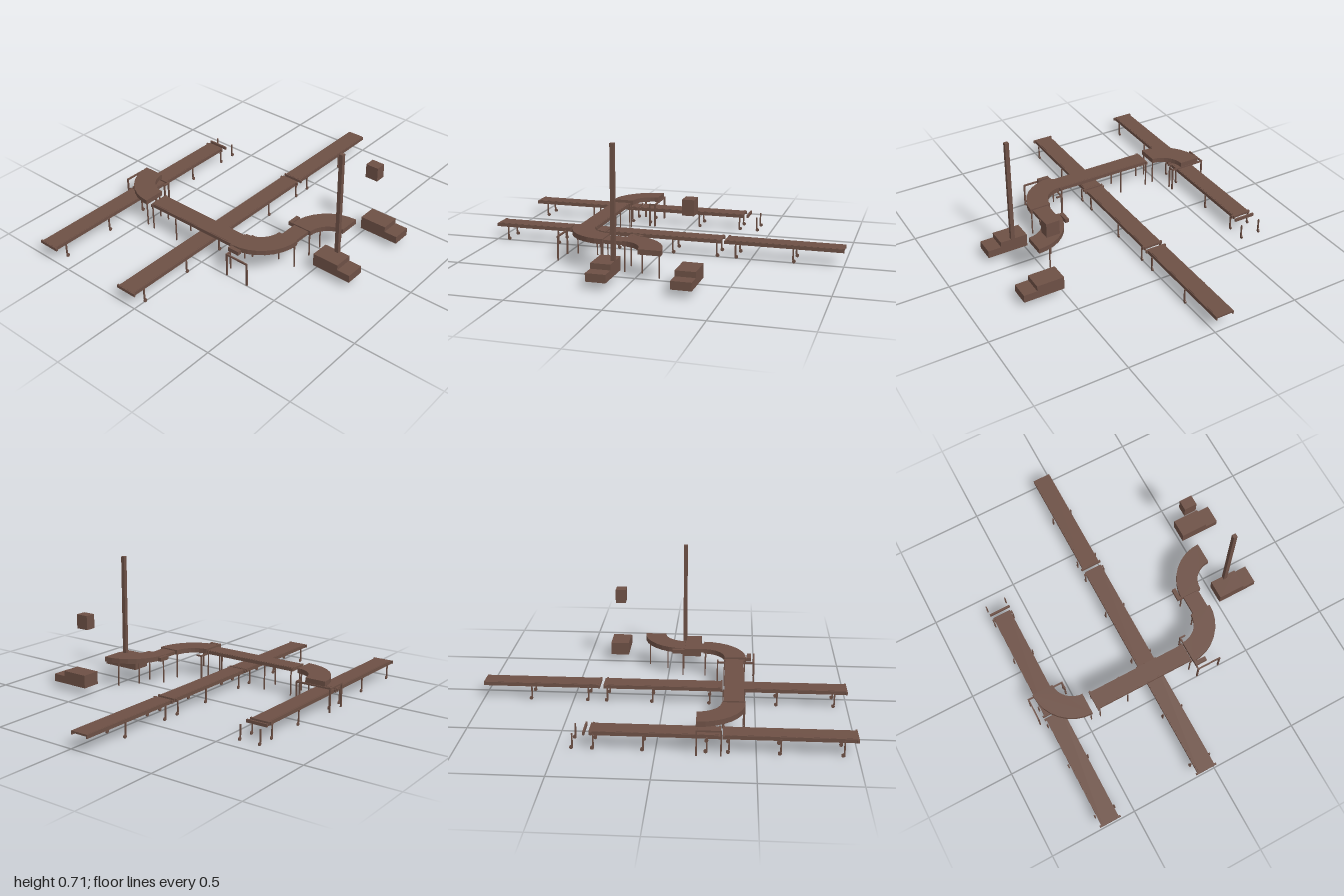
import * as THREE from 'three';

const brown = new THREE.MeshStandardMaterial({ color: 0x6d5045, flatShading: true });

// Box given by its min and max on each axis
function box(parent, name, x0, x1, y0, y1, z0, z1) {
  const m = new THREE.Mesh(new THREE.BoxGeometry(x1 - x0, y1 - y0, z1 - z0), brown);
  m.position.set((x0 + x1) / 2, (y0 + y1) / 2, (z0 + z1) / 2);
  m.name = name;
  parent.add(m);
  return m;
}

function post(parent, x, z, top, r = 0.004) {
  box(parent, 'leg', x - r, x + r, 0, top, z - r, z + r);
}

// Leg with a small caster wheel at the foot
function casterLeg(parent, x, z) {
  box(parent, 'casterLeg', x - 0.003, x + 0.003, 0.018, 0.085, z - 0.004, z + 0.004);
  const wheel = new THREE.Mesh(new THREE.CylinderGeometry(0.01, 0.01, 0.007, 12), brown);
  wheel.rotation.z = Math.PI / 2;
  wheel.position.set(x, 0.01, z - 0.005);
  wheel.name = 'casterWheel';
  parent.add(wheel);
}

// Straight belt running along z, top surface at y = top
function straightBelt(name, z0, z1, top) {
  const g = new THREE.Group();
  g.name = name;
  box(g, 'belt', -0.046, 0.046, top - 0.01, top, z0, z1);
  for (const s of [-1, 1]) {
    const x = s * 0.049;
    box(g, 'sideRail', x - 0.003, x + 0.003, top - 0.021, top - 0.001, z0, z1);
  }
  return g;
}

// End plate across a belt
function crossBar(parent, z, top, half = 0.062) {
  box(parent, 'crossBar', -half, half, top - 0.018, top - 0.001, z - 0.005, z + 0.005);
}

// Quarter-turn belt about (cx, cz); angles measured from +x towards +z
function curvedBelt(name, cx, cz, from) {
  const shape = new THREE.Shape();
  const n = 8;
  for (let i = 0; i <= n; i++) {
    const a = from + (i / n) * Math.PI / 2;
    const x = 0.245 * Math.cos(a), y = 0.245 * Math.sin(a);
    if (i) shape.lineTo(x, y); else shape.moveTo(x, y);
  }
  for (let i = n; i >= 0; i--) {
    const a = from + (i / n) * Math.PI / 2;
    shape.lineTo(0.123 * Math.cos(a), 0.123 * Math.sin(a));
  }
  shape.closePath();
  const geo = new THREE.ExtrudeGeometry(shape, { depth: 0.028, bevelEnabled: false });
  geo.rotateX(Math.PI / 2);
  const m = new THREE.Mesh(geo, brown);
  m.position.set(cx, 0.169, cz);
  m.name = name;
  return m;
}

export function createModel() {
  const root = new THREE.Group();
  root.name = 'conveyorSystem';

  // Two low conveyor lines on casters
  const lines = [
    { name: 'middleLine', x: -0.055, belts: [[-1, -0.36], [-0.332, 0.315], [0.343, 0.995]],
      bars: [-0.357, -0.32, 0.317, 0.338, 0.995], legs: [-0.73, -0.415, -0.31, -0.06, 0.255, 0.365, 0.62, 0.93] },
    { name: 'leftLine', x: -0.645, belts: [[-0.332, 0.315], [0.343, 0.995]],
      bars: [-0.357, -0.32, 0.317, 0.338, 0.995], legs: [-0.415, -0.31, -0.06, 0.255, 0.365, 0.62, 0.93] },
  ];
  for (const l of lines) {
    const g = new THREE.Group();
    g.name = l.name;
    g.position.x = l.x;
    l.belts.forEach(([a, b]) => g.add(straightBelt('beltSection', a, b, 0.096)));
    l.bars.forEach((z) => crossBar(g, z, 0.096));
    for (const z of l.legs) for (const s of [-1, 1]) casterLeg(g, s * 0.059, z);
    root.add(g);
  }

  // Raised cross belt running along x
  const cross = straightBelt('raisedBelt', -0.295, 0.295, 0.161);
  for (const z of [-0.29, 0.29]) crossBar(cross, z, 0.16, 0.06);
  for (const z of [-0.285, -0.11, 0.285]) for (const s of [-1, 1]) post(cross, s * 0.057, z, 0.145, 0.003);
  cross.rotation.y = Math.PI / 2;
  cross.position.set(-0.13, 0, 0.385);
  root.add(cross);

  // Raised quarter-turn belts and the link between the right pair
  root.add(curvedBelt('leftCurve', -0.46, 0.2, Math.PI / 2));
  root.add(curvedBelt('rightCurve', 0.17, 0.205, 0));
  root.add(curvedBelt('outfeedCurve', 0.54, 0.095, Math.PI));
  box(root, 'linkBelt', 0.308, 0.402, 0.142, 0.162, 0.09, 0.21);
  box(root, 'linkBar', 0.295, 0.415, 0.142, 0.16, 0.088, 0.096);

  // Frame under the left curve
  const leftStand = new THREE.Group();
  leftStand.name = 'leftStand';
  box(leftStand, 'standRail', -0.739, -0.524, 0.13, 0.139, 0.2, 0.208);
  box(leftStand, 'standRail', -0.739, -0.731, 0.13, 0.139, 0.2, 0.33);
  box(leftStand, 'standRail', -0.532, -0.524, 0.13, 0.139, 0.2, 0.24);
  [[-0.735, 0.204], [-0.528, 0.204], [-0.735, 0.326], [-0.528, 0.236]].forEach(([x, z]) => post(leftStand, x, z, 0.135));
  for (const z of [0.335, 0.435]) post(leftStand, -0.468, z, 0.145, 0.003);
  root.add(leftStand);

  // Frame under the right curve
  const rightStand = new THREE.Group();
  rightStand.name = 'rightStand';
  box(rightStand, 'standRail', 0.174, 0.182, 0.13, 0.139, 0.285, 0.5);
  box(rightStand, 'standRail', 0.174, 0.318, 0.13, 0.139, 0.492, 0.5);
  box(rightStand, 'standRail', 0.174, 0.21, 0.13, 0.139, 0.285, 0.293);
  [[0.178, 0.289], [0.178, 0.496], [0.314, 0.496]].forEach(([x, z]) => post(rightStand, x, z, 0.135));
  for (const x of [0.3, 0.405]) post(rightStand, x, 0.215, 0.145, 0.003);
  root.add(rightStand);

  // Legs of the outfeed curve
  const outLegs = new THREE.Group();
  outLegs.name = 'outfeedLegs';
  [[0.3, 0.085], [0.405, 0.085], [0.405, -0.01], [0.465, -0.12]].forEach(([x, z]) => post(outLegs, x, z, 0.145, 0.003));
  root.add(outLegs);

  // Drive motors beside the curves
  box(root, 'motor', 0.172, 0.24, 0.145, 0.168, 0.455, 0.478);
  box(root, 'motor', 0.27, 0.292, 0.145, 0.168, 0.025, 0.095);
  box(root, 'motorMount', 0.172, 0.185, 0.145, 0.165, 0.44, 0.46);
  box(root, 'motorMount', 0.285, 0.31, 0.145, 0.165, 0.082, 0.095);

  // Stepped machine units at the outfeed
  for (const z of [0.075, -0.362]) {
    const unit = new THREE.Group();
    unit.name = 'steppedUnit';
    box(unit, 'unitBody', 0.505, 0.66, 0.04, 0.114, z, z + 0.107);
    box(unit, 'unitStep', 0.66, 0.736, 0.04, 0.084, z, z + 0.107);
    root.add(unit);
  }
  box(root, 'tallPole', 0.577, 0.599, 0.114, 0.713, 0.073, 0.095);
  box(root, 'raisedBox', 0.505, 0.579, 0.37, 0.45, -0.33, -0.27);

  return root;
}
